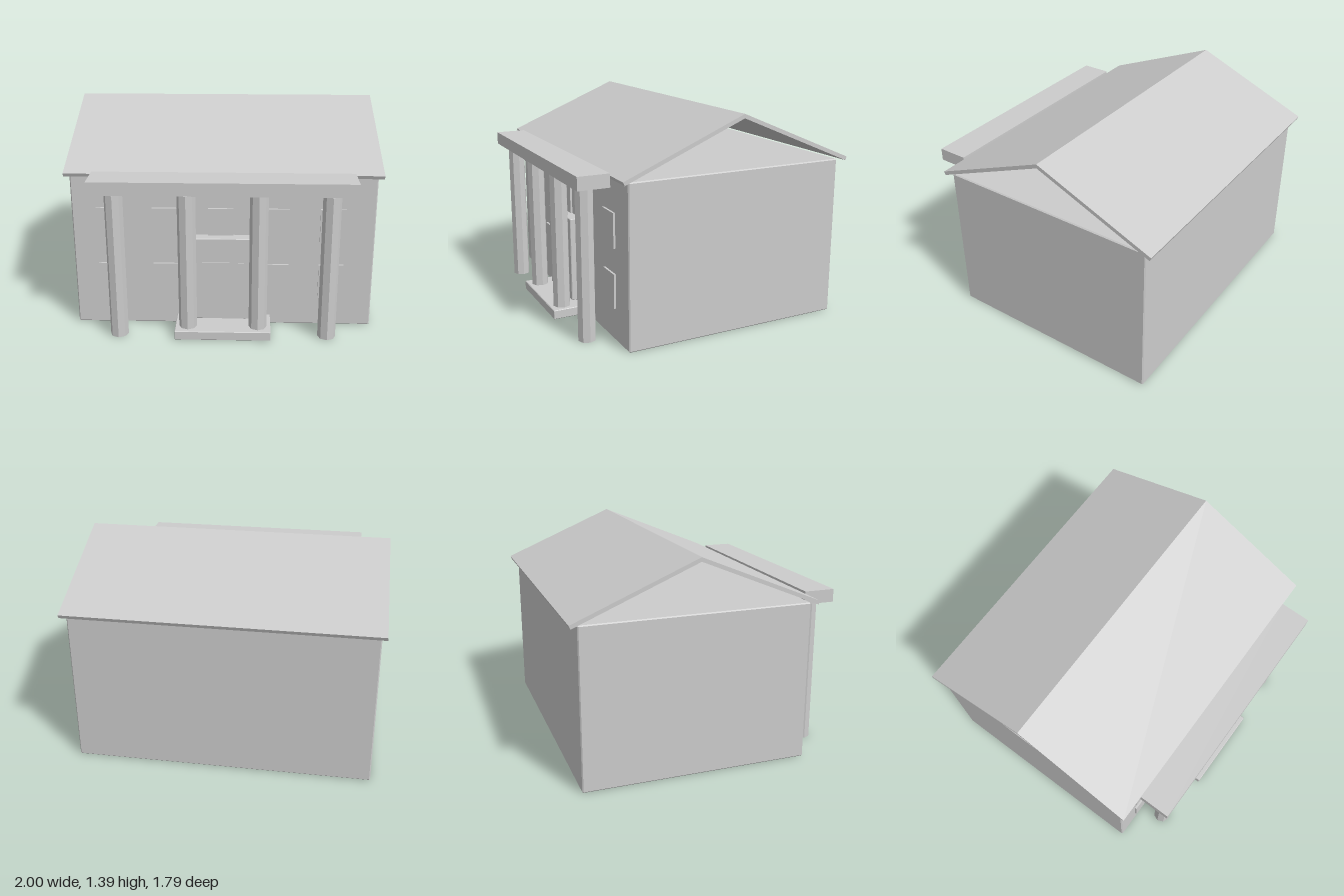
import * as THREE from 'three';
import { ConvexGeometry } from 'three/addons/geometries/ConvexGeometry.js';

const stone = new THREE.MeshStandardMaterial({ color: 0xcccccc });
stone.name = 'pale grey';

export function createModel() {
  const house = new THREE.Group();
  house.name = 'house';

  function add(name, geometry) {
    const mesh = new THREE.Mesh(geometry, stone);
    mesh.name = name;
    house.add(mesh);
    return mesh;
  }

  // Plain box given by its limits
  function box(name, x0, x1, y0, y1, z0, z1) {
    const g = new THREE.BoxGeometry(x1 - x0, y1 - y0, z1 - z0);
    g.translate((x0 + x1) / 2, (y0 + y1) / 2, (z0 + z1) / 2);
    return add(name, g);
  }

  // Box with small chamfers: each corner becomes three points
  function chamferBox(name, x0, x1, y0, y1, z0, z1, c) {
    const points = [];
    for (const [x, sx] of [[x0, c], [x1, -c]])
      for (const [y, sy] of [[y0, c], [y1, -c]])
        for (const [z, sz] of [[z0, c], [z1, -c]])
          points.push(
            new THREE.Vector3(x, y + sy, z + sz),
            new THREE.Vector3(x + sx, y, z + sz),
            new THREE.Vector3(x + sx, y + sy, z));
    return add(name, new ConvexGeometry(points));
  }

  // Main block
  chamferBox('walls', -0.97, 0.97, 0, 1.045, -0.84, 0.645, 0.007);

  // Gable roof: folded slab with open ends
  const fold = new THREE.Shape([
    [0.69, 1.06], [-0.105, 1.39], [-0.895, 1.06],
    [-0.885, 1.037], [-0.105, 1.363], [0.68, 1.037],
  ].map(([z, y]) => new THREE.Vector2(z, y)));
  const roof = new THREE.ExtrudeGeometry(fold, { depth: 2, bevelEnabled: false });
  roof.translate(0, 0, -1).rotateY(-Math.PI / 2);
  add('roof', roof);

  // Porch: beam, step and octagonal columns
  box('porchBeam', -0.82, 0.82, 0.99, 1.075, 0.69, 0.895);
  chamferBox('doorStep', -0.308, 0.308, 0.004, 0.065, 0.64, 0.882, 0.004);
  for (const x of [-0.673, -0.225, 0.225, 0.671]) {
    const column = new THREE.CylinderGeometry(0.058, 0.058, 0.973, 8).toNonIndexed();
    column.computeVertexNormals();
    add('column', column).position.set(x, 0.4865, 0.797);
  }

  // Entrance block with its door leaf
  chamferBox('doorway', -0.205, 0.205, 0.07, 0.64, 0.64, 0.716, 0.004);
  box('door', -0.135, 0.135, 0.075, 0.475, 0.71, 0.722);

  // Two rows of window slabs
  for (const y of [0.215, 0.6])
    for (let i = -2; i <= 2; i++) {
      if (i === 0 && y < 0.5) continue; // the doorway stands here
      const x = -0.017 + i * 0.358;
      box('window', x - 0.081, x + 0.081, y, y + 0.222, 0.64, 0.658);
    }

  return house;
}
